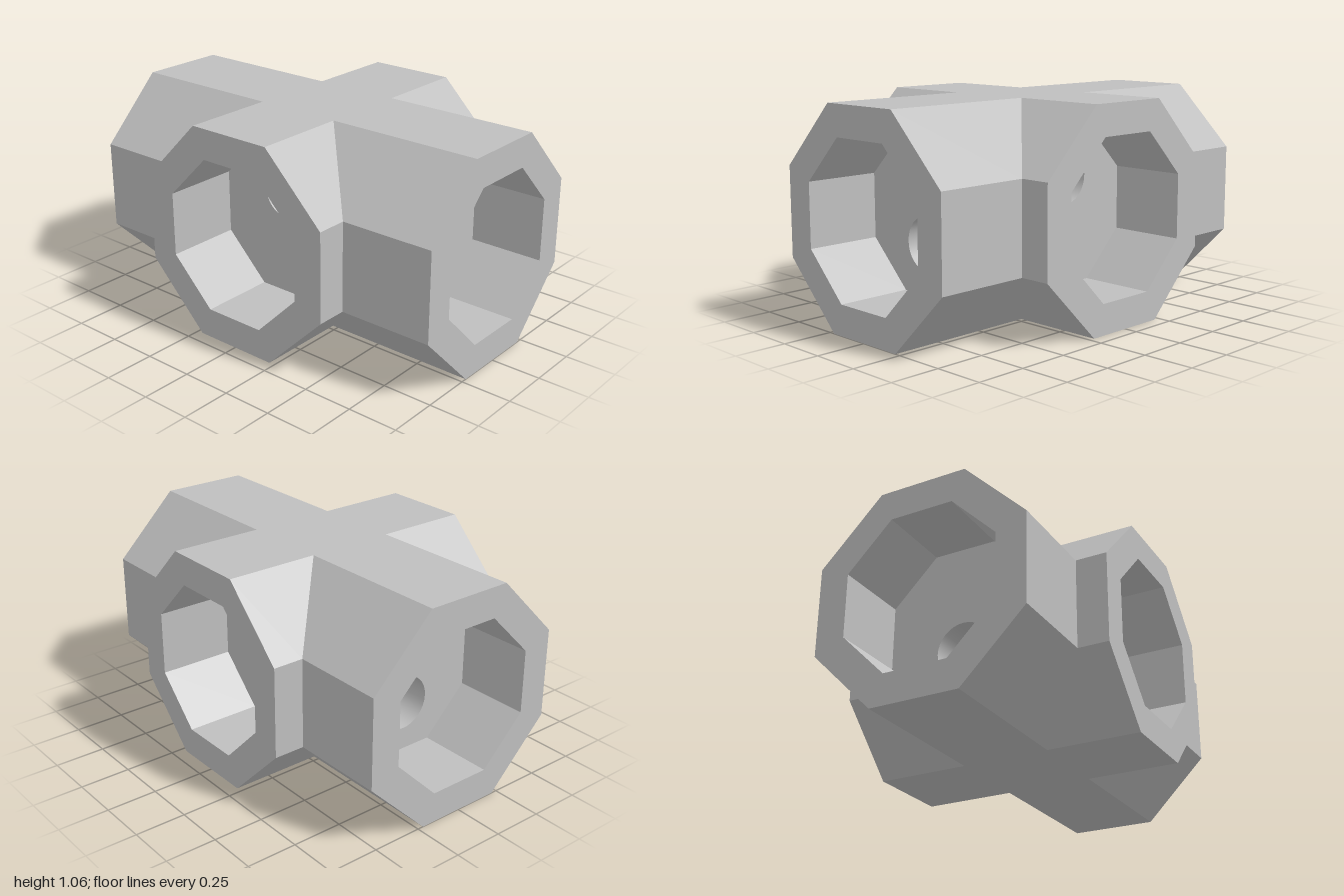
import * as THREE from 'three';

const R = 0.532;          // half width of the octagonal arms, also the axis height
const POCKET = 0.382;     // half width of the octagonal sockets
const DEPTH = 0.38;       // socket depth
const BORE = 0.133;       // bore radius
const T = Math.tan(Math.PI / 8);

// Octagon corners, counter-clockwise, centred on the arm axis
function octagon(half) {
  const r = half * Math.sqrt(1 + T * T);
  return Array.from({ length: 8 }, (_, i) => {
    const a = (i + 0.5) * Math.PI / 4;
    return new THREE.Vector2(r * Math.cos(a), R + r * Math.sin(a));
  });
}

// Flat-faced band joining two closed rings of points
function band(ringA, ringB) {
  const pos = [];
  ringA.forEach((a, i) => {
    const j = (i + 1) % ringA.length;
    for (const p of [a, ringA[j], ringB[j], a, ringB[j], ringB[i]]) pos.push(p.x, p.y, p.z);
  });
  const g = new THREE.BufferGeometry();
  g.setAttribute('position', new THREE.Float32BufferAttribute(pos, 3));
  g.computeVertexNormals();
  return g;
}

const ring = (points, z) =>
  points.map(p => new THREE.Vector3(p.x, p.y, typeof z === 'function' ? z(p) : z));

export function createModel() {
  const model = new THREE.Group();
  model.name = 'crossConnector';
  const grey = new THREE.MeshStandardMaterial({ color: 0xbfbfbf });
  grey.name = 'light grey';

  const add = (parent, name, geometry) => {
    const mesh = new THREE.Mesh(geometry, grey);
    mesh.name = name;
    parent.add(mesh);
    return mesh;
  };

  const outer = octagon(R), inner = octagon(POCKET);

  // One arm along +z, mitred against its neighbours where z = |x|
  function makeArm(name, length, boreY) {
    const arm = new THREE.Group();
    arm.name = name;
    const floorZ = length - DEPTH;
    add(arm, 'armShell', band(ring(outer, p => Math.abs(p.x)), ring(outer, length)));

    const rim = new THREE.Shape(outer);
    rim.holes.push(new THREE.Path(inner));
    add(arm, 'armRim', new THREE.ShapeGeometry(rim).translate(0, 0, length));

    add(arm, 'socketWall', band(ring(inner, length), ring(inner, floorZ)));

    const floor = new THREE.Shape(inner);
    floor.holes.push(new THREE.Path().absarc(0, boreY, BORE, 0, Math.PI * 2, true));
    add(arm, 'socketFloor', new THREE.ShapeGeometry(floor, 16).translate(0, 0, floorZ));
    return arm;
  }

  // Long arms run front to back, short arms run side to side
  const axes = [
    { names: ['frontArm', 'backArm'], length: 1, boreY: 0.393, turn: 0 },
    { names: ['leftArm', 'rightArm'], length: 0.684, boreY: 0.675, turn: Math.PI / 2 },
  ];
  for (const { names, length, boreY, turn } of axes) {
    names.forEach((name, i) => {
      const arm = makeArm(name, length, boreY);
      arm.rotation.y = turn + i * Math.PI;
      model.add(arm);
    });
    // Through bore between the two sockets, facing inwards
    const h = length - DEPTH;
    const profile = [new THREE.Vector2(BORE, h), new THREE.Vector2(BORE, -h)];
    const bore = new THREE.LatheGeometry(profile, 32).rotateX(Math.PI / 2).translate(0, boreY, 0);
    add(model, 'bore', bore).rotation.y = turn;
  }

  // Square centres of the top and bottom faces
  const side = 2 * R * T;
  add(model, 'topCentre', new THREE.PlaneGeometry(side, side).rotateX(-Math.PI / 2).translate(0, 2 * R, 0));
  add(model, 'bottomCentre', new THREE.PlaneGeometry(side, side).rotateX(Math.PI / 2));

  return model;
}
